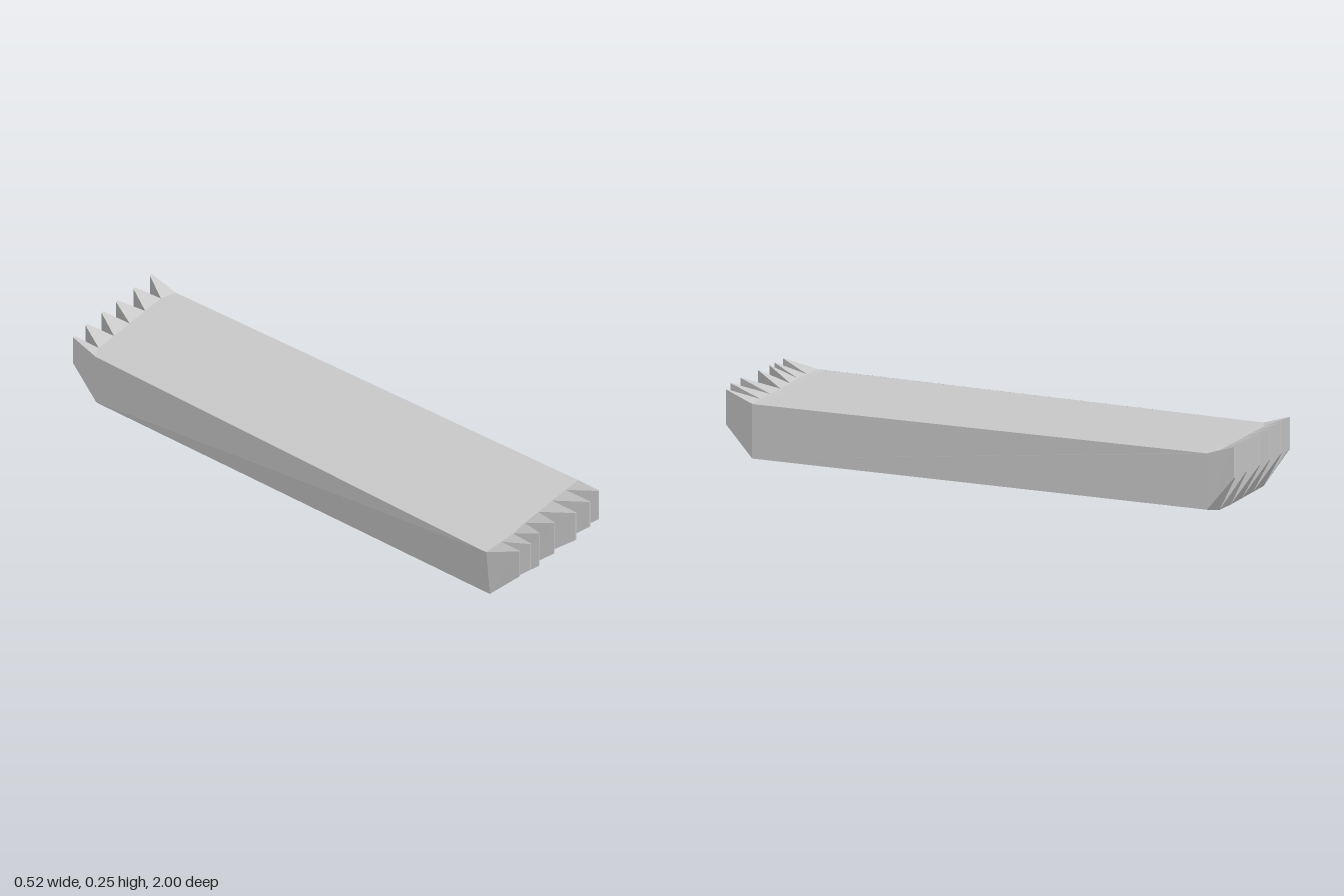
import * as THREE from 'three';

// Each end: dir is +1 (front) or -1 (back); valleys are [xTop, xBottom, z, yBottom]; tips are [x, z, yTop, yBottom]
const FRONT = {
  dir: 1, creaseZ: 0.83, topY: 0.2, creaseBottomY: 0.002, tipHalf: 0.002,
  valleys: [
    [-0.262, -0.241, 0.86, 0.002], [-0.183, -0.203, 0.865, 0.003], [-0.12, -0.13, 0.872, 0.005],
    [-0.047, -0.053, 0.865, 0.005], [0.032, 0.032, 0.865, 0.004], [0.113, 0.113, 0.865, 0.003],
    [0.19, 0.19, 0.865, 0.003], [0.261, 0.261, 0.865, 0.002],
  ],
  tips: [
    [-0.223, 0.978, 0.236, 0.125], [-0.164, 0.982, 0.234, 0.126], [-0.103, 0.972, 0.24, 0.096],
    [-0.025, 0.978, 0.24, 0.104], [0.073, 1, 0.234, 0.115], [0.153, 1, 0.234, 0.124],
    [0.225, 0.984, 0.231, 0.105],
  ],
};
const BACK = {
  dir: -1, creaseZ: -0.875, topY: 0.219, creaseBottomY: 0.014, tipHalf: 0.005,
  valleys: [
    [-0.226, -0.222, -0.89, 0.014], [-0.18, -0.18, -0.912, 0.003], [-0.092, -0.092, -0.912, 0.002],
    [-0.002, -0.002, -0.912, 0.001], [0.088, 0.088, -0.912, 0], [0.178, 0.178, -0.912, 0.002],
    [0.236, 0.234, -0.89, 0.014],
  ],
  tips: [
    [-0.216, -0.995, 0.254, 0.14], [-0.136, -1, 0.254, 0.14], [-0.044, -1, 0.254, 0.14],
    [0.038, -1, 0.253, 0.14], [0.133, -0.995, 0.254, 0.14], [0.228, -0.995, 0.254, 0.14],
  ],
};

// Corner points along an end, one set per valley
function endPoints(end) {
  return end.valleys.map(([xt, xb, z, yb]) => ({
    top: [xt, end.topY, z],
    bottom: [xb, yb, z],
    creaseTop: [xt, end.topY, end.creaseZ],
    creaseBottom: [xb, end.creaseBottomY, end.creaseZ],
  }));
}

// Flat-faced mesh from convex polygons
function polygonMesh(name, polygons, material) {
  const positions = [];
  for (const p of polygons) {
    for (let i = 1; i < p.length - 1; i++) positions.push(...p[0], ...p[i], ...p[i + 1]);
  }
  const geometry = new THREE.BufferGeometry();
  geometry.setAttribute('position', new THREE.Float32BufferAttribute(positions, 3));
  geometry.computeVertexNormals();
  const mesh = new THREE.Mesh(geometry, material);
  mesh.name = name;
  return mesh;
}

// Jagged broken end: collar strips plus one pointed splinter between each pair of valleys
function splinteredEnd(name, end, material) {
  const pts = endPoints(end);
  const polygons = [];
  const add = (...p) => polygons.push(end.dir > 0 ? p : p.reverse());
  end.tips.forEach(([x, z, yt, yb], i) => {
    const a = pts[i], b = pts[i + 1], w = end.tipHalf;
    const lt = [x - w, yt, z], rt = [x + w, yt, z];
    const lb = [x - w, yb, z], rb = [x + w, yb, z];
    add(a.creaseTop, a.top, b.top, b.creaseTop);
    add(a.creaseBottom, b.creaseBottom, b.bottom, a.bottom);
    add(a.top, lt, rt, b.top);
    add(a.bottom, b.bottom, rb, lb);
    add(a.bottom, lb, lt, a.top);
    add(lb, rb, rt, lt);
    add(rb, b.bottom, b.top, rt);
  });
  return polygonMesh(name, polygons, material);
}

// Long tapered body between the two collars, with its side walls
function plankBody(material) {
  const f = endPoints(FRONT), b = endPoints(BACK);
  const [fl, fr, bl, br] = [f[0], f.at(-1), b[0], b.at(-1)];
  const side = (p, q) => [
    p.bottom, p.creaseBottom, q.creaseBottom, q.bottom,
    q.top, q.creaseTop, p.creaseTop, p.top,
  ];
  return polygonMesh('plankBody', [
    [fl.creaseTop, fr.creaseTop, br.creaseTop, bl.creaseTop],
    [fl.creaseBottom, bl.creaseBottom, br.creaseBottom, fr.creaseBottom],
    side(fr, br),
    side(fl, bl).reverse(),
  ], material);
}

export function createModel() {
  const grey = new THREE.MeshStandardMaterial({ color: 0xc8c8c8 });
  grey.name = 'plankGrey';
  grey.flatShading = true;
  const group = new THREE.Group();
  group.name = 'brokenPlank';
  group.add(
    plankBody(grey),
    splinteredEnd('frontSplinters', FRONT, grey),
    splinteredEnd('backSplinters', BACK, grey),
  );
  return group;
}
